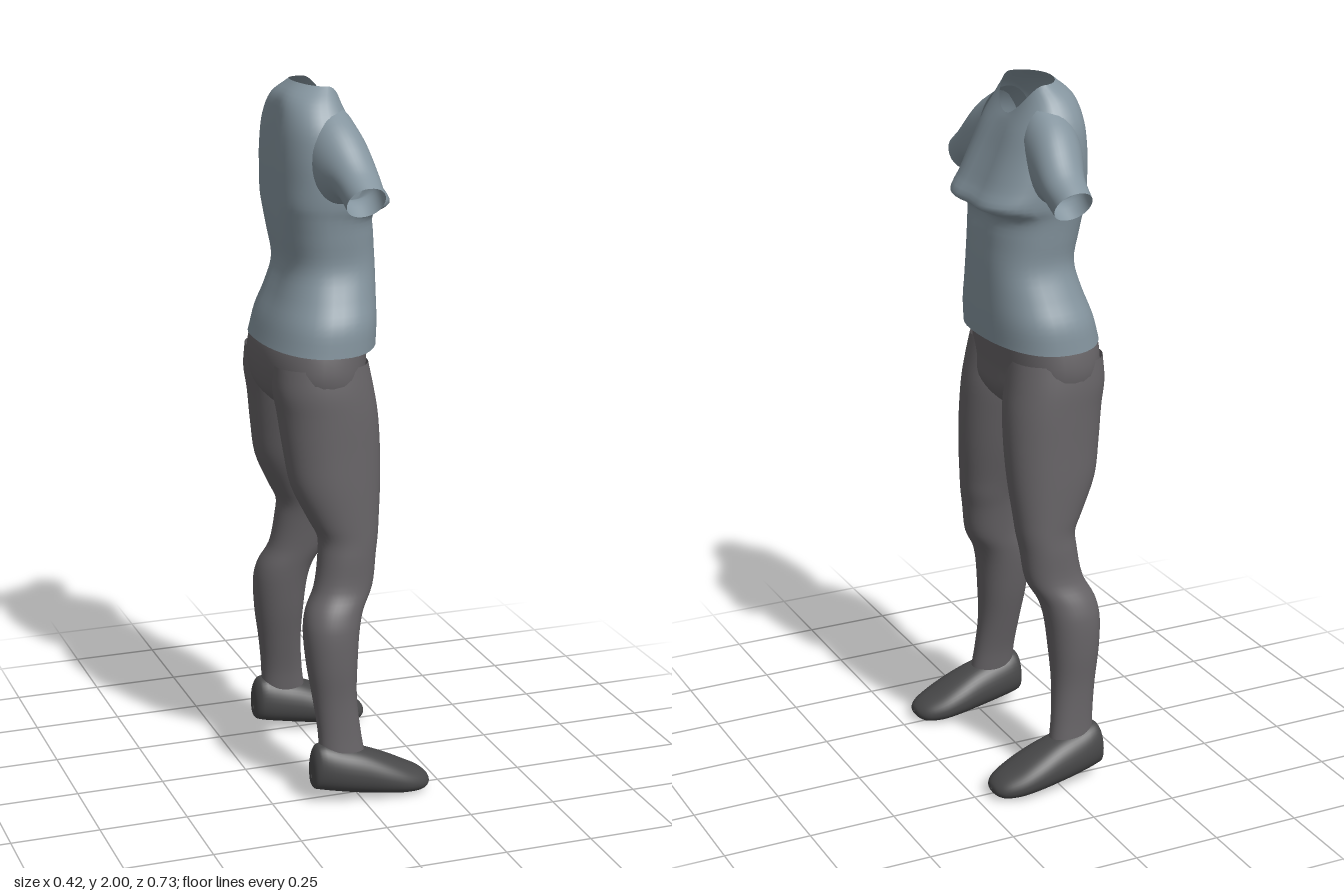
import * as THREE from 'three';

const material = (name, color) => {
  const m = new THREE.MeshStandardMaterial({ color, side: THREE.DoubleSide });
  m.name = name;
  return m;
};

const SEG = 40;
const power = (v, e) => Math.sign(v) * Math.abs(v) ** e;

// Closed ring of points; place(c, s, cos) maps a rounded-square outline to space
function ring(n, place) {
  return Array.from({ length: SEG }, (_, i) => {
    const a = (i / SEG) * Math.PI * 2;
    return place(power(Math.cos(a), 2 / n), power(Math.sin(a), 2 / n), Math.cos(a));
  });
}

// Smooth skin through a series of rings
function loft(name, rings, mat, sub = 4) {
  const rows = (rings.length - 1) * sub;
  const pos = [], index = [];
  const curves = rings[0].map((_, j) => new THREE.CatmullRomCurve3(rings.map(r => r[j])));
  for (let i = 0; i <= rows; i++)
    for (const c of curves) pos.push(...c.getPoint(i / rows).toArray());
  for (let i = 0; i < rows; i++)
    for (let j = 0; j < SEG; j++) {
      const k = (j + 1) % SEG, a = i * SEG, b = a + SEG;
      index.push(a + j, b + j, a + k, a + k, b + j, b + k);
    }
  const g = new THREE.BufferGeometry();
  g.setAttribute('position', new THREE.Float32BufferAttribute(pos, 3));
  g.setIndex(index);
  g.computeVertexNormals();
  const mesh = new THREE.Mesh(g, mat);
  mesh.name = name;
  return mesh;
}

// Horizontal ring between x0..x1 and z0..z1
const flatRing = (y, x0, x1, z0, z1, n = 2.2) => ring(n, (c, s) => new THREE.Vector3(
  (x0 + x1) / 2 + c * (x1 - x0) / 2, y, (z0 + z1) / 2 + s * (z1 - z0) / 2));

export function createModel() {
  const model = new THREE.Group();
  model.name = 'clothedFigure';
  const shirt = material('blueGreyShirt', 0x84949e);
  const trousers = material('greyTrousers', 0x666366);
  const leather = material('darkShoes', 0x484849);

  // Shirt body: y at chest, side and back, x range, half width, squareness, groove depth
  const torso = [
    [1.288, 1.275, 1.285, -.208, .115, .243, 2.3, 0],
    [1.35, 1.35, 1.35, -.19, .118, .236, 2.3, 0],
    [1.42, 1.42, 1.42, -.165, .12, .205, 2.3, .005],
    [1.5, 1.5, 1.5, -.145, .12, .175, 2.4, .01],
    [1.58, 1.58, 1.58, -.158, .115, .18, 2.4, .015],
    [1.645, 1.64, 1.64, -.166, .112, .187, 2.6, .018],
    [1.67, 1.675, 1.68, -.168, .153, .195, 3, .02],
    [1.72, 1.73, 1.74, -.17, .127, .2, 2.8, .02],
    [1.8, 1.81, 1.82, -.17, .088, .2, 2.6, .02],
    [1.86, 1.885, 1.9, -.163, .06, .188, 2.4, .015],
    [1.89, 1.95, 1.96, -.146, .043, .148, 2.2, .008],
    [1.905, 1.993, 1.998, -.1, .03, .105, 2, 0],
  ].map(([yf, ys, yb, x0, x1, rz, n, groove]) => ring(n, (c, s, cos) => {
    const z = s * rz, mid = Math.exp(-((z / .055) ** 2));
    const dent = groove * mid * (cos > 0 ? -.6 : 1);
    const y = ys + ((cos > 0 ? yf : yb) - ys) * cos * cos;
    return new THREE.Vector3((x0 + x1) / 2 + c * (x1 - x0) / 2 + dent, y, z);
  }));
  model.add(loft('shirtBody', torso, shirt));

  // Hips, closing at the crotch
  model.add(loft('hips', [
    [1.33, -.185, .095, .222], [1.27, -.206, .088, .238], [1.2, -.208, .082, .243],
    [1.14, -.19, .082, .22], [1.09, -.13, .05, .13], [1.075, -.06, .01, .04], [1.073, -.03, -.02, .005],
  ].map(([y, x0, x1, r]) => flatRing(y, x0, x1, -r, r, 2.3)), trousers));

  for (const [side, m] of [['front', 1], ['back', -1]]) {
    // Sleeve: upper and lower edge as (z, y), then x range
    model.add(loft(side + 'Sleeve', [
      [.13, 1.945, .15, 1.69, -.12, .045],
      [.215, 1.893, .195, 1.69, -.1, .05],
      [.305, 1.803, .235, 1.708, -.07, .052],
      [.366, 1.762, .298, 1.673, -.06, .046],
    ].map(([zt, yt, zb, yb, x0, x1]) => ring(2.1, (c, s) => new THREE.Vector3(
      (x0 + x1) / 2 + c * (x1 - x0) / 2,
      (yt + yb) / 2 + s * (yt - yb) / 2,
      m * ((zt + zb) / 2 + s * (zt - zb) / 2)))), shirt));

    // Trouser leg: y, x range, z range
    model.add(loft(side + 'Leg', [
      [1.24, -.195, .07, .01, .235], [1.17, -.198, .083, .015, .244], [1.1, -.187, .094, .022, .247],
      [1, -.175, .098, .043, .25], [.9, -.158, .095, .066, .254], [.8, -.112, .086, .095, .256],
      [.75, -.088, .081, .108, .257], [.7, -.09, .073, .12, .26], [.61, -.106, .06, .135, .265],
      [.55, -.135, .028, .143, .287], [.5, -.145, .014, .15, .299], [.4, -.14, .004, .167, .302],
      [.3, -.126, 0, .19, .297], [.2, -.115, .008, .212, .3], [.13, -.113, .018, .22, .306],
    ].map(([y, x0, x1, z0, z1]) => flatRing(y, x0, x1,
      m > 0 ? z0 : -z1, m > 0 ? z1 : -z0)), trousers));

    // Shoe from heel to toe: x, y range, z range
    model.add(loft(side + 'Shoe', [
      [-.14, .07, .08, .262, .268], [-.136, .043, .14, .235, .3], [-.118, .037, .168, .215, .315],
      [-.05, .024, .158, .202, .332], [.01, .014, .143, .196, .34], [.08, .005, .113, .19, .345],
      [.14, 0, .082, .195, .34], [.185, .003, .058, .215, .322], [.203, .014, .042, .24, .3],
      [.208, .026, .03, .267, .273],
    ].map(([x, y0, y1, z0, z1]) => ring(2.5, (c, s) => {
      const taper = 1 - .16 * Math.max(0, s);
      return new THREE.Vector3(x, (y0 + y1) / 2 + s * (y1 - y0) / 2,
        m * ((z0 + z1) / 2 + c * taper * (z1 - z0) / 2));
    })), leather));
  }
  return model;
}
